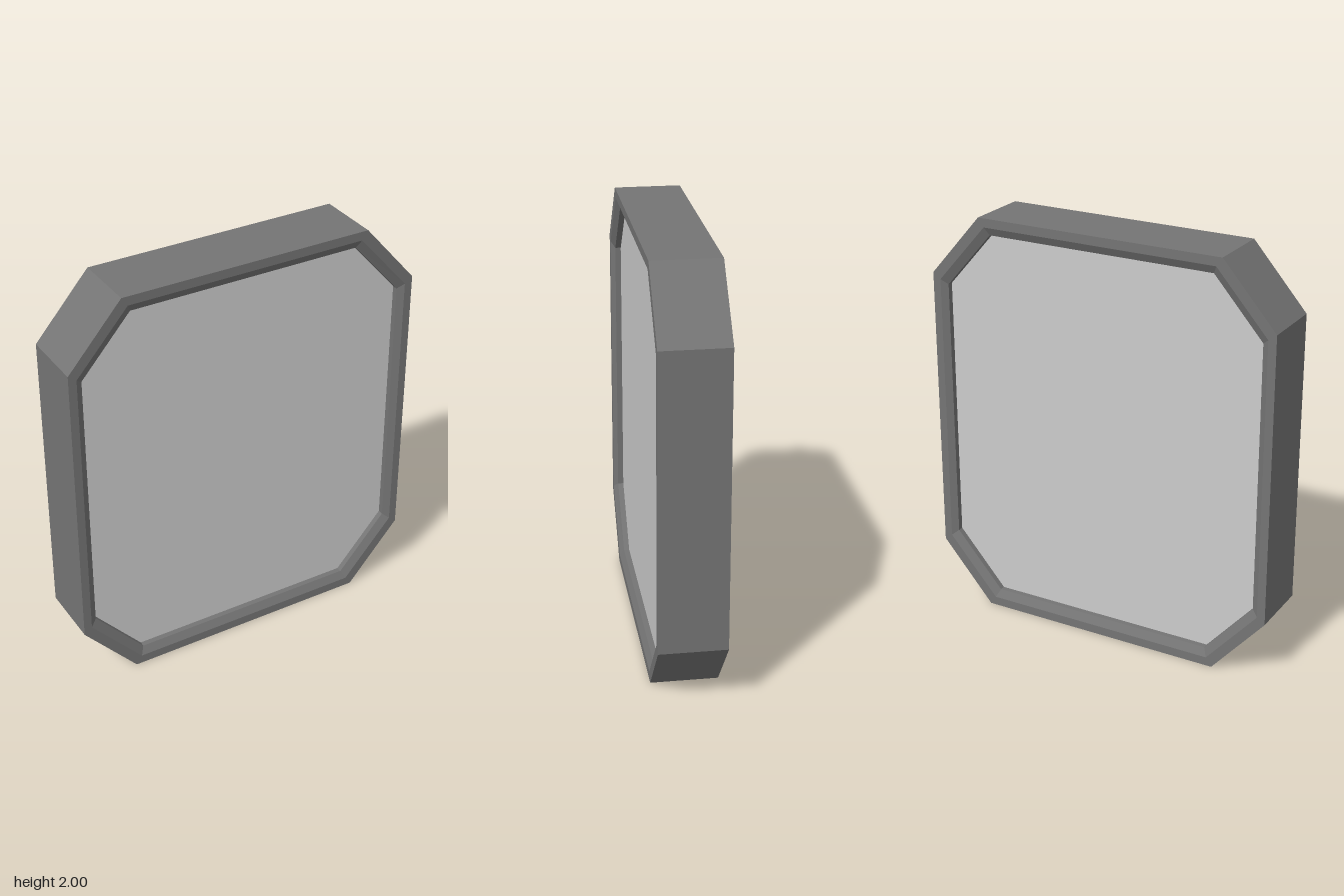
import * as THREE from 'three';

// Octagon with cut corners: half width, half height, and where each cut begins
function octagon(halfW, halfH, cutX, cutY) {
  return [
    [cutX, halfH], [-cutX, halfH], [-halfW, cutY], [-halfW, -cutY],
    [-cutX, -halfH], [cutX, -halfH], [halfW, -cutY], [halfW, cutY],
  ];
}

const OUTER = octagon(0.877, 1, 0.615, 0.7);
const LIP = octagon(0.838, 0.957, 0.586, 0.671);
const INNER = octagon(0.807, 0.918, 0.567, 0.645);

const FACE_Z = 0.157;
const BEVEL_Z = 0.137;
const PANEL_Z = 0.11;

// Joins the section rings into a closed loop of flat quads
function sweepRings(rings) {
  const positions = [];
  const point = (ring, i) => {
    const [x, y] = ring.outline[i % ring.outline.length];
    return [x, y, ring.z];
  };
  rings.forEach((ring, r) => {
    const next = rings[(r + 1) % rings.length];
    for (let i = 0; i < ring.outline.length; i++) {
      const a = point(ring, i), b = point(ring, i + 1);
      const c = point(next, i + 1), d = point(next, i);
      positions.push(...a, ...b, ...c, ...a, ...c, ...d);
    }
  });
  const geometry = new THREE.BufferGeometry();
  geometry.setAttribute('position', new THREE.Float32BufferAttribute(positions, 3));
  geometry.computeVertexNormals();
  return geometry;
}

export function createModel() {
  const model = new THREE.Group();
  model.name = 'framedPanel';

  // Frame: flat lip, shallow bevel and inner wall, the same on both sides
  const frame = new THREE.Mesh(
    sweepRings([
      { outline: OUTER, z: -FACE_Z },
      { outline: OUTER, z: FACE_Z },
      { outline: LIP, z: FACE_Z },
      { outline: INNER, z: BEVEL_Z },
      { outline: INNER, z: -BEVEL_Z },
      { outline: LIP, z: -FACE_Z },
    ]),
    new THREE.MeshStandardMaterial({ color: 0x757575, flatShading: true }),
  );
  frame.name = 'frame';

  // Panel set back inside the frame
  const shape = new THREE.Shape(INNER.map(([x, y]) => new THREE.Vector2(x, y)));
  const panelGeometry = new THREE.ExtrudeGeometry(shape, { depth: 2 * PANEL_Z, bevelEnabled: false });
  panelGeometry.translate(0, 0, -PANEL_Z);
  const panel = new THREE.Mesh(
    panelGeometry,
    new THREE.MeshStandardMaterial({ color: 0xcccccc, flatShading: true }),
  );
  panel.name = 'panel';

  model.add(frame, panel);
  model.position.y = 1;
  return model;
}
